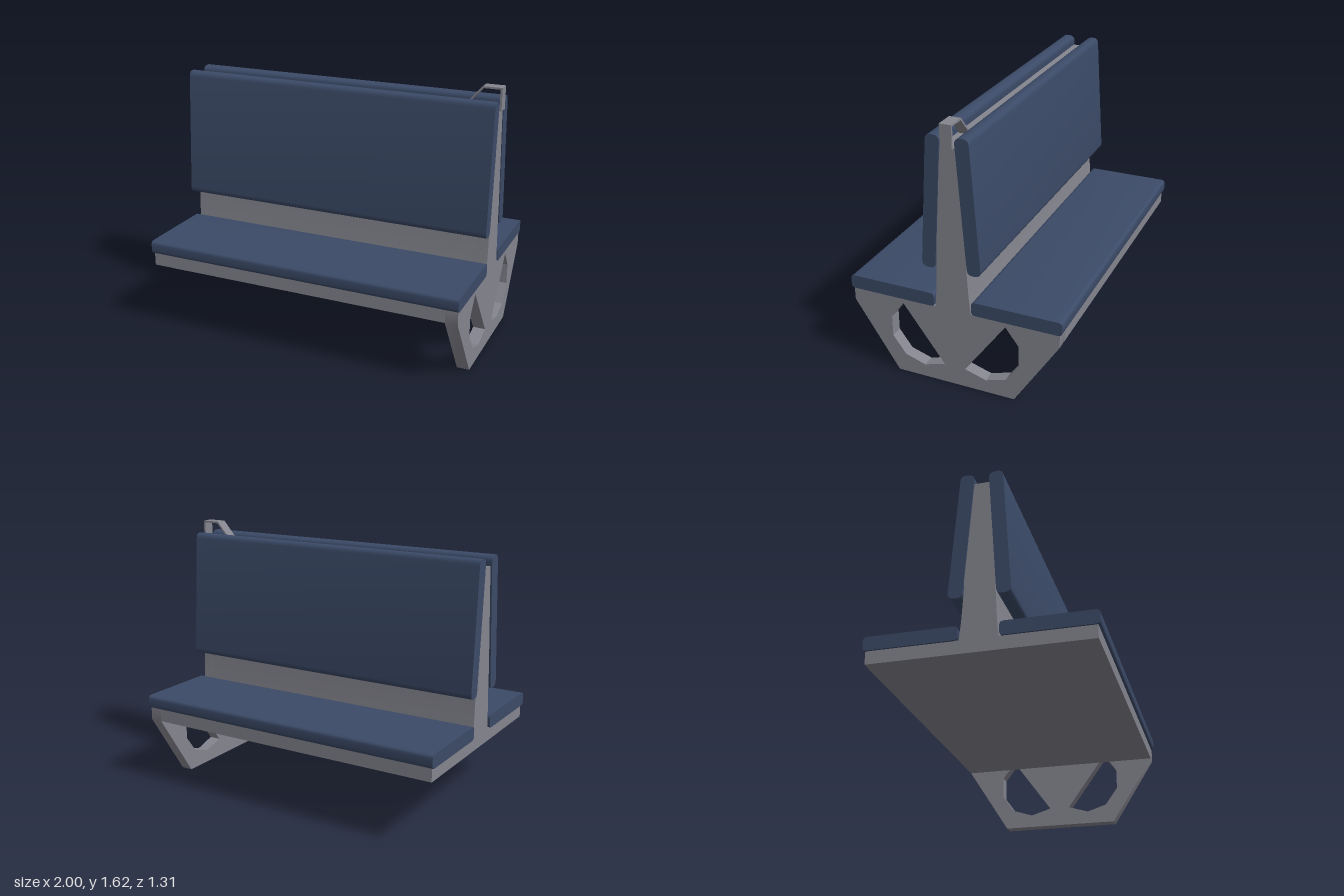
import * as THREE from 'three';
import { toCreasedNormals } from 'three/addons/utils/BufferGeometryUtils.js';

const frameGrey = new THREE.MeshStandardMaterial({ color: 0x85858f });
frameGrey.name = 'frame grey';
const cushionBlue = new THREE.MeshStandardMaterial({ color: 0x3b4a67 });
cushionBlue.name = 'cushion blue';

const points = (list) => list.map(([a, b]) => new THREE.Vector2(a, b));

// Extrudes a side profile (z, y) along x from x0 to x1
function extrudeSide(name, shape, x0, x1, material) {
  let geo = new THREE.ExtrudeGeometry(shape, { depth: x1 - x0, bevelEnabled: false, curveSegments: 4 });
  geo.rotateY(-Math.PI / 2); // profile u -> +z, depth -> -x
  geo.translate(x1, 0, 0);
  geo = toCreasedNormals(geo, 0.6);
  const mesh = new THREE.Mesh(geo, material);
  mesh.name = name;
  return mesh;
}

// Mirrors a half outline (z >= 0, listed bottom to top) into a closed shape
function mirroredShape(half) {
  const other = half.map(([z, y]) => [-z, y]).reverse();
  return new THREE.Shape(points([...half, ...other]));
}

// Slab between two end points, with rounded corners
function padShape(start, end, thickness, radius) {
  const a = new THREE.Vector2(...start);
  const dir = new THREE.Vector2(...end).sub(a);
  const length = dir.length();
  dir.normalize();
  const h = thickness / 2;
  const at = (u, v) => [a.x + dir.x * u - dir.y * v, a.y + dir.y * u + dir.x * v];
  const s = new THREE.Shape();
  const corner = (u, v, u0, v0, u1, v1, first) => {
    if (first) s.moveTo(...at(u0, v0));
    else s.lineTo(...at(u0, v0));
    s.quadraticCurveTo(...at(u, v), ...at(u1, v1));
  };
  const r = radius;
  corner(0, -h, 0, -h + r, r, -h, true);
  corner(length, -h, length - r, -h, length, -h + r);
  corner(length, h, length, h - r, length - r, h);
  corner(0, h, r, h, 0, h - r);
  s.closePath();
  return s;
}

export function createModel() {
  const model = new THREE.Group();
  model.name = 'doubleBench';

  // Seat deck and central back, as one cross-section
  const upper = [
    [0.64, 0.42], [0.64, 0.5], [0.11, 0.5], [0.1, 0.6], [0.09, 0.78], [0.088, 1.0],
    [0.08, 1.05], [0.068, 1.35], [0.055, 1.41], [0.043, 1.485],
  ];
  model.add(extrudeSide('benchBody', mirroredShape(upper), -0.99, 0.91, frameGrey));

  // End plate with the leg and its two cut-outs
  const plate = mirroredShape([[0.37, 0], ...upper]);
  const hole = [[0.32, 0.47], [0.4, 0.36], [0.4, 0.23], [0.32, 0.12], [0.195, 0.08], [0.065, 0.12]];
  for (const side of [1, -1]) {
    plate.holes.push(new THREE.Path(points(hole.map(([z, y]) => [z * side, y]))));
  }
  model.add(extrudeSide('endLeg', plate, 0.91, 0.985, frameGrey));

  // Seat and back cushions on both sides
  for (const side of [1, -1]) {
    const label = side > 0 ? 'front' : 'rear';
    const seat = padShape([side * 0.115, 0.54], [side * 0.655, 0.54], 0.083, 0.024);
    const back = padShape([side * 0.139, 0.75], [side * 0.083, 1.545], 0.083, 0.035);
    model.add(extrudeSide(label + 'SeatCushion', seat, -1, 0.99, cushionBlue));
    model.add(extrudeSide(label + 'BackCushion', back, -1, 0.99, cushionBlue));
  }

  // Bent strip grab handle on the aisle corner
  const strip = new THREE.Shape(points([
    [0.765, 1.48], [0.777, 1.48], [0.89, 1.605], [0.988, 1.605], [0.988, 1.48],
    [1.0, 1.48], [1.0, 1.616], [0.885, 1.616],
  ]));
  const handleGeo = new THREE.ExtrudeGeometry(strip, { depth: 0.07, bevelEnabled: false });
  handleGeo.translate(0, 0, -0.035);
  const handle = new THREE.Mesh(handleGeo, frameGrey);
  handle.name = 'grabHandle';
  model.add(handle);

  return model;
}
